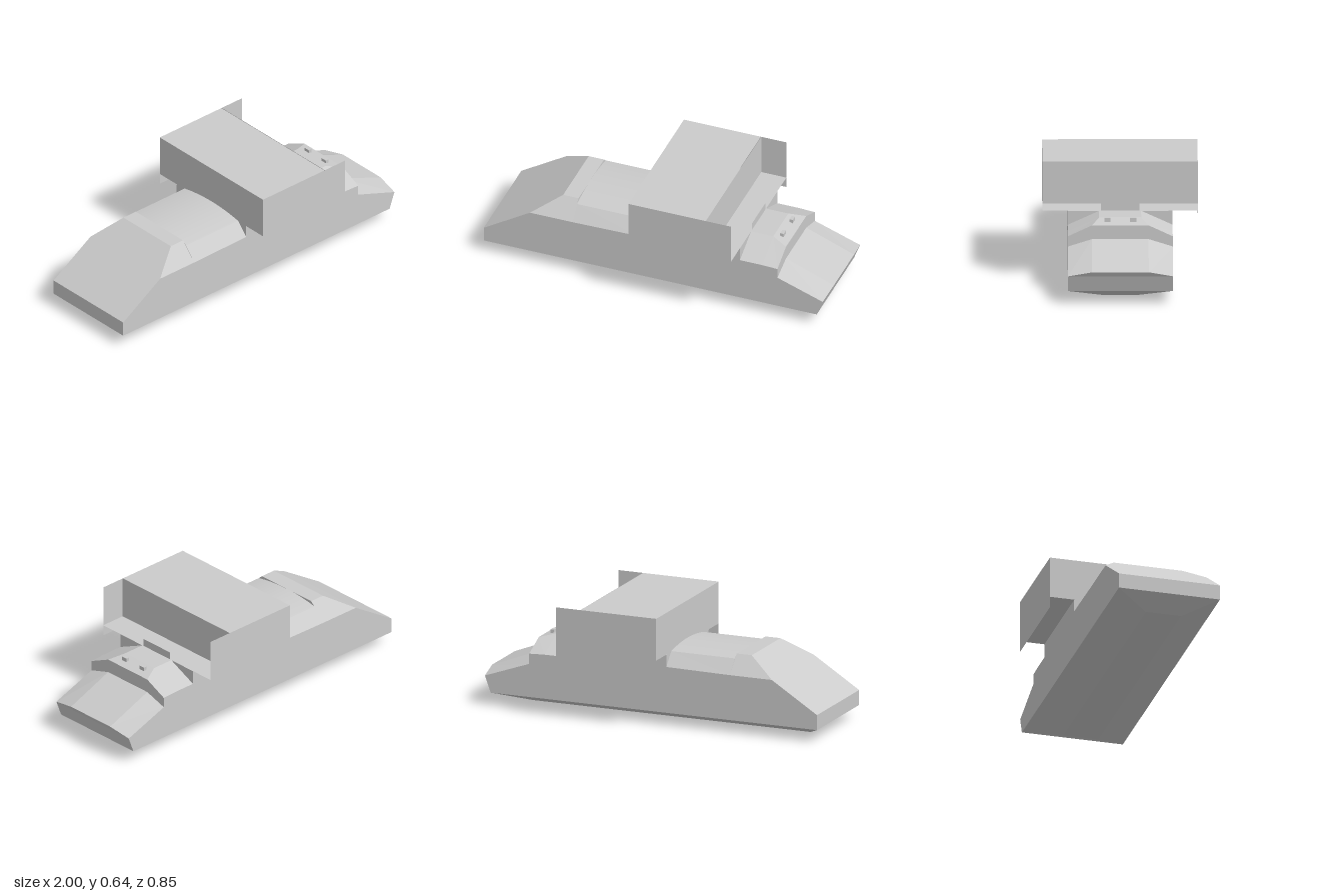
import * as THREE from 'three';

const flat = new THREE.MeshStandardMaterial({ color: 0xcccccc, flatShading: true, side: THREE.DoubleSide });
const smooth = new THREE.MeshStandardMaterial({ color: 0xcccccc, side: THREE.DoubleSide });

// Skins mirrored half-sections ([x, y, z] points from roof edge down to keel) and caps both ends
function loft(halves) {
  const pos = [];
  const quad = (a, b, c, d) => pos.push(...a, ...b, ...c, ...a, ...c, ...d);
  const flip = ([x, y, z]) => [x, y, -z];
  const rings = halves.map(h => [...h, ...h.map(flip).reverse()]);
  for (let s = 0; s < rings.length - 1; s++) {
    const a = rings[s], b = rings[s + 1], n = a.length;
    for (let i = 0; i < n; i++) {
      const j = (i + 1) % n;
      quad(a[i], a[j], b[j], b[i]);
    }
  }
  const first = halves[0], last = halves[halves.length - 1];
  for (let i = 0; i < first.length - 1; i++) {
    quad(first[i], flip(first[i]), flip(first[i + 1]), first[i + 1]);
    quad(last[i], last[i + 1], flip(last[i + 1]), flip(last[i]));
  }
  const g = new THREE.BufferGeometry();
  g.setAttribute('position', new THREE.Float32BufferAttribute(pos, 3));
  g.computeVertexNormals();
  return g;
}

export function createModel() {
  const model = new THREE.Group();
  const add = (name, geometry, material = flat) => {
    const mesh = new THREE.Mesh(geometry, material);
    mesh.name = name;
    model.add(mesh);
    return mesh;
  };

  // Hull: one section per break in the deck line
  const W = 0.287;
  const section = (x, topY, topZ, sideY) =>
    [[x, topY, topZ], [x, sideY, W], [x, 0.07, W], [x, 0, 0.1]];
  add('hull', loft([
    [[-1, 0.155, W], [-1, 0.155, W], [-1, 0.07, W], [-0.88, 0, 0.1]],
    section(-0.73, 0.325, W, 0.325),
    section(-0.57, 0.425, 0.195, 0.325),
    section(-0.48, 0.425, 0.195, 0.325),
    section(-0.48, 0.403, 0.22, 0.325),
    section(-0.1, 0.403, 0.22, 0.33),
    section(-0.1, 0.399, W, 0.399),
    section(0.5, 0.399, W, 0.399),
    section(0.5, 0.399, 0.115, 0.32),
    section(0.63, 0.399, 0.115, 0.32),
    section(0.72, 0.378, 0.155, 0.316),
    section(0.72, 0.3, 0.155, 0.258),
    [[1, 0.19, 0.155], [0.985, 0.163, W], [0.95, 0.07, W], [0.78, 0, 0.1]],
  ]));

  // Shallow curved roof behind the bridge
  const half = 0.22, rise = 0.022;
  const R = (half * half + rise * rise) / (2 * rise), angle = Math.asin(half / R);
  const arch = new THREE.CylinderGeometry(R, R, 0.38, 16, 1, true, Math.PI / 2 - angle, 2 * angle);
  arch.rotateZ(Math.PI / 2);
  add('curvedRoof', arch, smooth).position.set(-0.29, 0.425 - R, 0);

  // Bridge made of thin sheets
  const sheet = (name, w, h, x, y, z, rx = 0, ry = 0) => {
    const mesh = add(name, new THREE.PlaneGeometry(w, h));
    mesh.position.set(x, y, z);
    mesh.rotation.set(rx, ry, 0);
  };
  const Q = Math.PI / 2;
  sheet('bridgeRoof', 0.45, 0.85, 0.125, 0.637, 0, -Q);
  sheet('bridgeFloor', 0.6, 0.85, 0.2, 0.4, 0, -Q);
  sheet('bridgeFrontWall', 0.85, 0.237, 0.353, 0.5185, 0, 0, Q);
  sheet('bridgeRearWall', 0.85, 0.237, -0.1, 0.5185, 0, 0, -Q);
  sheet('balconyLip', 0.21, 0.043, 0.5, 0.4215, 0, 0, Q);
  for (const s of [1, -1]) {
    sheet('bridgeSidePlate', 0.6, 0.3, 0.2, 0.487, s * 0.425, 0, s > 0 ? 0 : Math.PI);

    // Small blocks on the sloping front roof
    add('roofBlock', new THREE.BoxGeometry(0.02, 0.024, 0.035)).position.set(0.67, 0.397, s * 0.07);
  }
  return model;
}
